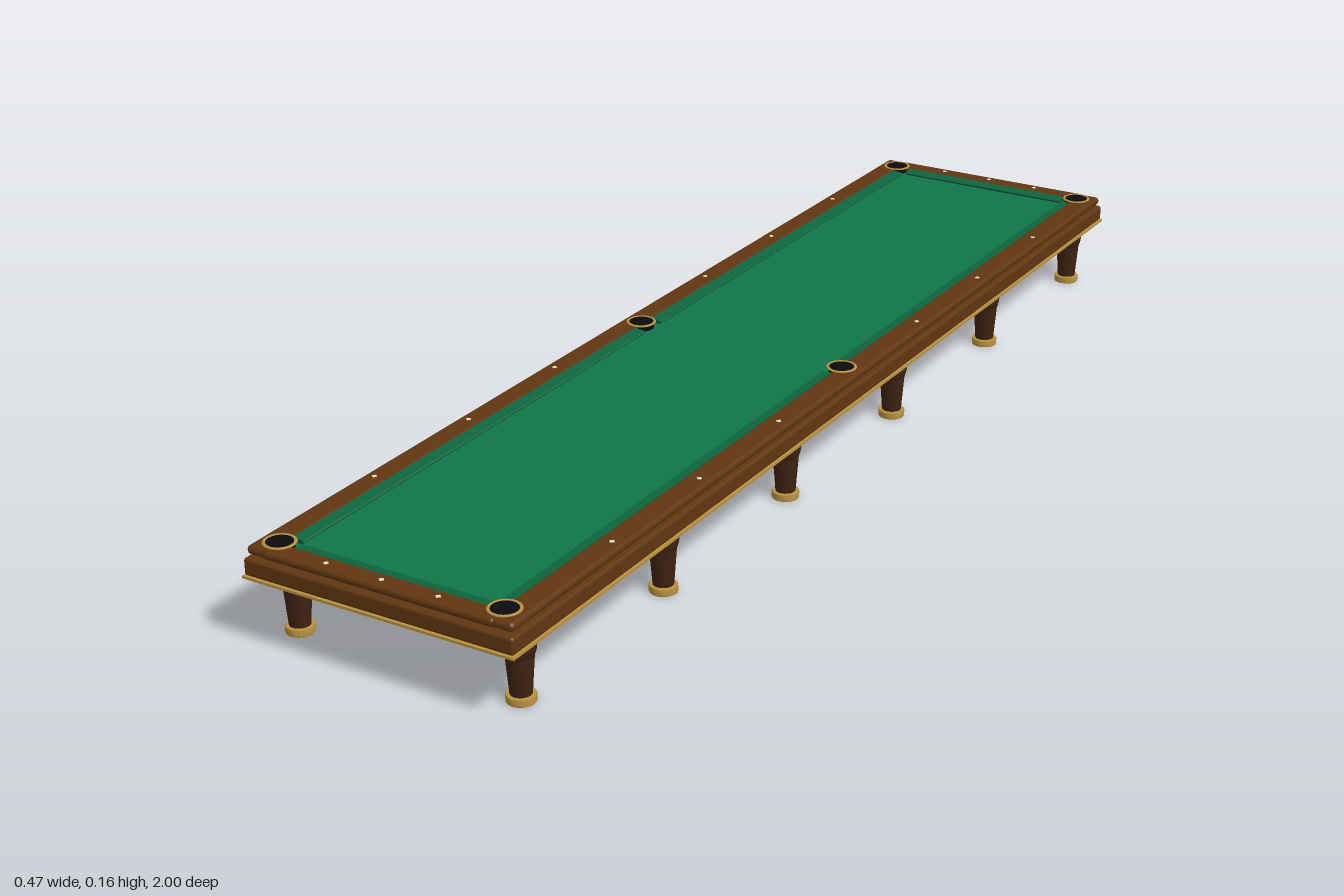
import * as THREE from 'three';
import { RoundedBoxGeometry } from 'three/addons/geometries/RoundedBoxGeometry.js';

const material = (name, color) => {
  const m = new THREE.MeshStandardMaterial({ color });
  m.name = name;
  return m;
};

export function createModel() {
  const table = new THREE.Group();
  table.name = 'longBilliardTable';

  const wood = material('walnut', 0x613611);
  const darkWood = material('darkWalnut', 0x3e2312);
  const brass = material('brass', 0xb8913f);
  const cloth = material('greenCloth', 0x0f754a);
  const cushionCloth = material('cushionCloth', 0x0d653f);
  const black = material('pocketBlack', 0x0b0b0c);
  const ivory = material('ivory', 0xeee3c4);

  const add = (name, geometry, mat, x = 0, y = 0, z = 0, parent = table) => {
    const mesh = new THREE.Mesh(geometry, mat);
    mesh.name = name;
    mesh.position.set(x, y, z);
    parent.add(mesh);
    return mesh;
  };
  const box = (w, h, d) => new THREE.BoxGeometry(w, h, d);
  const rounded = (w, h, d, r) => new RoundedBoxGeometry(w, h, d, 4, r);
  const lathe = (points) =>
    new THREE.LatheGeometry(points.map(([r, y]) => new THREE.Vector2(r, y)), 28);

  // Stacked body: brass trim sheet, apron, recessed neck, playing bed
  add('brassTrim', box(0.47, 0.004, 2), brass, 0, 0.109, 0);
  add('apron', rounded(0.466, 0.028, 1.996, 0.005), wood, 0, 0.125, 0);
  add('recessedNeck', box(0.424, 0.008, 1.954), darkWood, 0, 0.141, 0);
  add('playingBed', box(0.386, 0.005, 1.93), cloth, 0, 0.1455, 0);

  // Wooden rails around the bed
  const sideRail = rounded(0.042, 0.0145, 1.986, 0.0068);
  const endRail = rounded(0.4, 0.0145, 0.036, 0.0068);
  for (const s of [-1, 1]) {
    add('sideRail', sideRail, wood, s * 0.209, 0.1503, 0);
    add('endRail', endRail, wood, 0, 0.1503, s * 0.977);
  }

  // Cushions: wedge section with the nose leaning over the bed
  const cushion = (length) => {
    const section = new THREE.Shape();
    section.moveTo(0, 0.146);
    section.lineTo(0.014, 0.146);
    section.lineTo(0.02, 0.152);
    section.lineTo(0.018, 0.1545);
    section.lineTo(0, 0.1565);
    const g = new THREE.ExtrudeGeometry(section, { depth: length, bevelEnabled: false });
    return g.translate(0, 0, -length / 2);
  };
  const sideCushion = cushion(0.91);
  const endCushion = cushion(0.334);
  for (const s of [-1, 1]) {
    for (const t of [-1, 1]) {
      const c = add('sideCushion', sideCushion, cushionCloth, s * 0.191, 0, t * 0.481);
      c.rotation.y = s > 0 ? Math.PI : 0;
    }
    const c = add('endCushion', endCushion, cushionCloth, 0, 0, s * 0.963);
    c.rotation.y = s * Math.PI / 2;
  }

  // Six pockets with flattened brass rims
  const pocketWell = new THREE.CylinderGeometry(0.0215, 0.0215, 0.014, 28);
  const pocketRim = new THREE.TorusGeometry(0.0228, 0.0028, 8, 32)
    .rotateX(Math.PI / 2).scale(1, 0.55, 1);
  for (const x of [-0.195, 0.195]) {
    for (const z of [-0.96, 0, 0.96]) {
      const pocket = new THREE.Group();
      pocket.name = 'pocket';
      pocket.position.set(x, 0, z);
      add('pocketWell', pocketWell, black, 0, 0.152, 0, pocket);
      add('pocketRim', pocketRim, brass, 0, 0.1583, 0, pocket);
      table.add(pocket);
    }
  }

  // Ivory sight markers on the rails
  const sight = new THREE.CylinderGeometry(0.0048, 0.0048, 0.0012, 4);
  for (const s of [-1, 1]) {
    for (const z of [-0.72, -0.48, -0.24, 0.24, 0.48, 0.72]) {
      add('railSight', sight, ivory, s * 0.212, 0.1578, z);
    }
    for (const x of [-0.097, 0, 0.097]) add('railSight', sight, ivory, x, 0.1578, s * 0.978);
  }

  // Twelve turned legs: brass foot, tapered shaft, swollen collar
  const foot = lathe([[0, 0], [0.0218, 0], [0.0223, 0.001], [0.0223, 0.0105], [0.021, 0.012], [0, 0.012]]);
  const shaft = lathe([[0.0163, 0.011], [0.0212, 0.075]]);
  const collar = lathe([
    [0.0208, 0.072], [0.0228, 0.078], [0.0243, 0.084], [0.0248, 0.089],
    [0.0242, 0.095], [0.0225, 0.1], [0.0212, 0.104], [0.0208, 0.108],
  ]);
  for (const x of [-0.195, 0.195]) {
    for (const z of [-0.93, -0.558, -0.186, 0.186, 0.558, 0.93]) {
      const leg = new THREE.Group();
      leg.name = 'leg';
      leg.position.set(x, 0, z);
      add('legFoot', foot, brass, 0, 0, 0, leg);
      add('legShaft', shaft, darkWood, 0, 0, 0, leg);
      add('legCollar', collar, darkWood, 0, 0, 0, leg);
      table.add(leg);
    }
  }

  return table;
}
